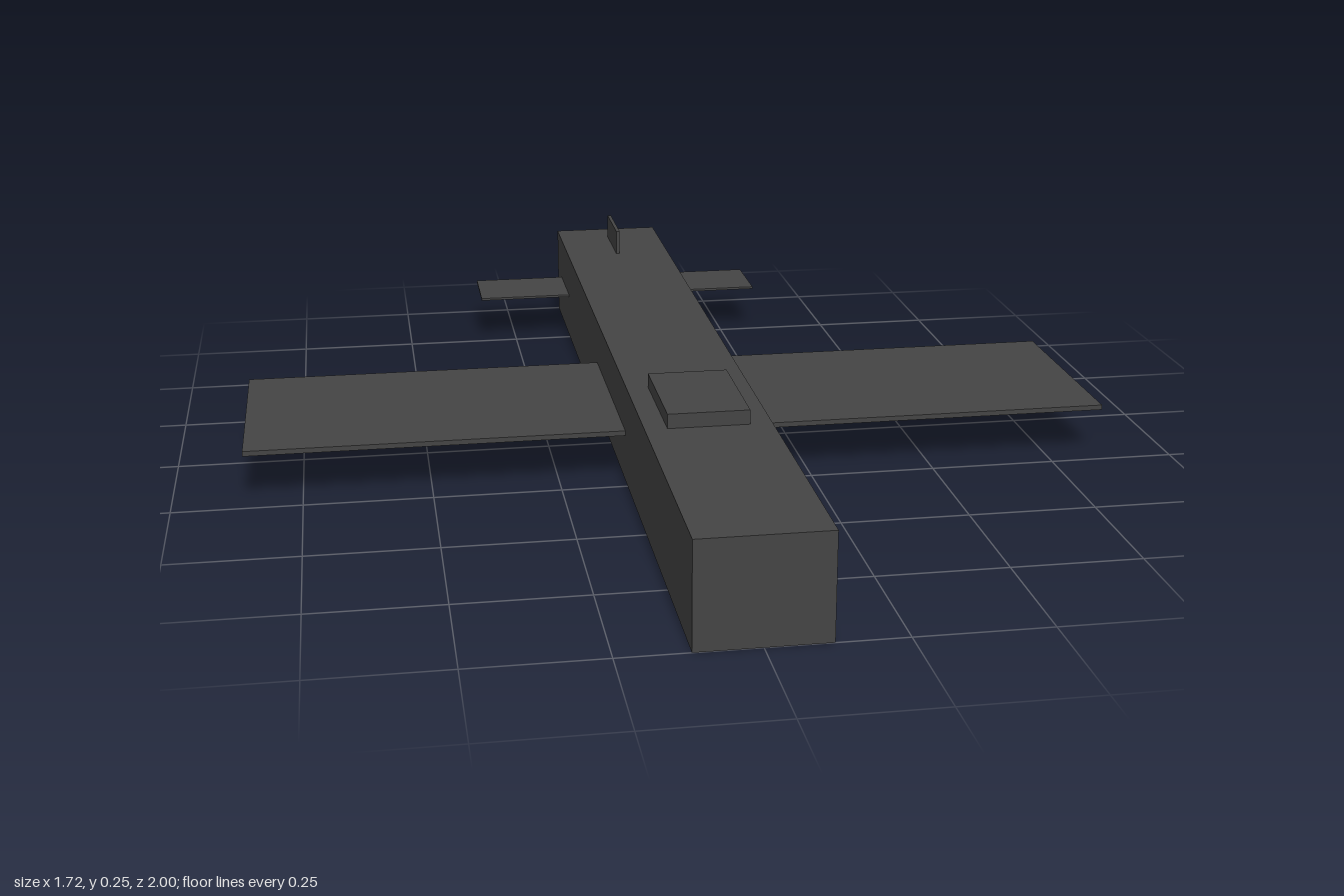
import * as THREE from 'three';

export function createModel() {
  const plane = new THREE.Group();
  plane.name = 'airplane';
  const material = new THREE.MeshStandardMaterial({ color: 0x444444 });

  // Adds a box given its size and centre
  const addBox = (name, [w, h, d], [x, y, z]) => {
    const mesh = new THREE.Mesh(new THREE.BoxGeometry(w, h, d), material);
    mesh.name = name;
    mesh.position.set(x, y, z);
    plane.add(mesh);
  };

  // Body
  addBox('fuselage', [0.24, 0.2, 2], [0, 0.1, 0]);
  addBox('canopy', [0.155, 0.06, 0.24], [0, 0.198, 0.36]);

  // Main wing and tailplane run straight through the fuselage
  addBox('wing', [1.72, 0.01, 0.44], [0, 0.1, 0]);
  addBox('tailplane', [0.66, 0.005, 0.16], [0, 0.1, -0.84]);

  // Upright fin, rooted in the fuselage
  addBox('tailFin', [0.008, 0.1, 0.16], [0, 0.205, -0.84]);

  return plane;
}
